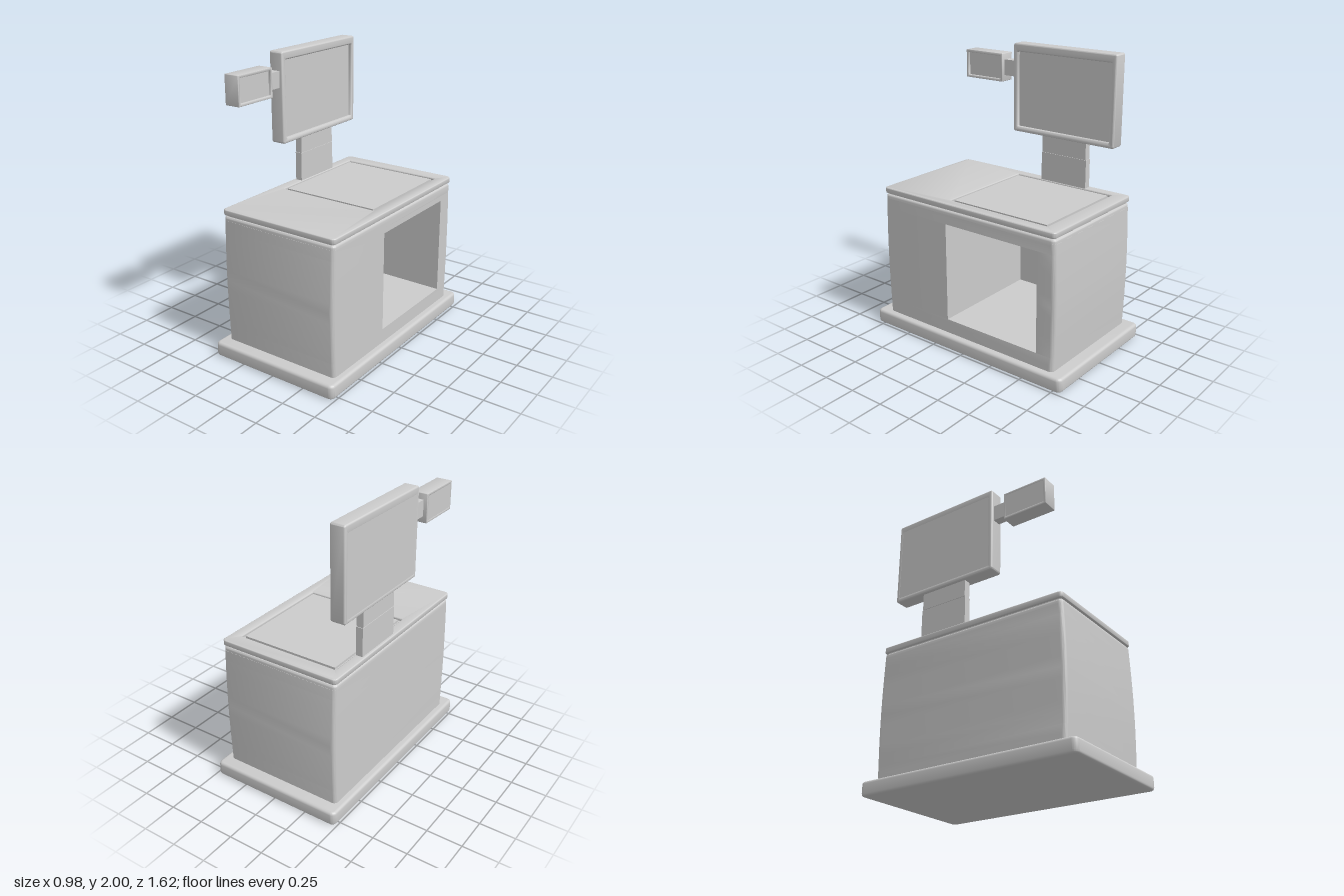
import * as THREE from 'three';
import { toCreasedNormals } from 'three/addons/utils/BufferGeometryUtils.js';

const material = new THREE.MeshStandardMaterial({ color: 0xcccccc });

// Traces a rectangle with rounded corners onto a Shape or Path.
function roundedRect(path, x0, y0, x1, y1, r) {
  path.moveTo(x0 + r, y0);
  path.lineTo(x1 - r, y0);
  path.absarc(x1 - r, y0 + r, r, -Math.PI / 2, 0);
  path.lineTo(x1, y1 - r);
  path.absarc(x1 - r, y1 - r, r, 0, Math.PI / 2);
  path.lineTo(x0 + r, y1);
  path.absarc(x0 + r, y1 - r, r, Math.PI / 2, Math.PI);
  path.lineTo(x0, y0 + r);
  path.absarc(x0 + r, y0 + r, r, Math.PI, Math.PI * 1.5);
  return path;
}

// Extrudes a shape between two levels, keeping its outline as the outer limit of the bevel.
function extrude(shape, from, to, bevel = 0, steps = 1) {
  const geometry = new THREE.ExtrudeGeometry(shape, {
    depth: to - from - 2 * bevel, steps, curveSegments: 6,
    bevelEnabled: bevel > 0, bevelSize: bevel, bevelThickness: bevel,
    bevelOffset: -bevel, bevelSegments: 4,
  });
  return geometry.translate(0, 0, from + bevel);
}

export function createModel() {
  const model = new THREE.Group();

  function add(name, geometry, parent = model) {
    const mesh = new THREE.Mesh(toCreasedNormals(geometry, 0.6), material);
    mesh.name = name;
    parent.add(mesh);
    return mesh;
  }
  function box(name, x0, x1, y0, y1, z0, z1, parent) {
    const g = new THREE.BoxGeometry(x1 - x0, y1 - y0, z1 - z0);
    return add(name, g.translate((x0 + x1) / 2, (y0 + y1) / 2, (z0 + z1) / 2), parent);
  }
  // Stands a floor-plan shape (drawn with y = -z) upright.
  const upright = (...args) => extrude(...args).rotateX(-Math.PI / 2);
  const plan = (hx, hz, r) => roundedRect(new THREE.Shape(), -hx, -hz, hx, hz, r);

  // Cabinet ends swell slightly at mid height.
  function swell(geometry) {
    const p = geometry.attributes.position;
    for (let i = 0; i < p.count; i++) {
      const z = p.getZ(i);
      if (Math.abs(z) < 0.66) continue;
      const t = THREE.MathUtils.clamp((p.getY(i) - 0.1) / 0.9, 0, 1);
      p.setZ(i, z + Math.sign(z) * 0.012 * Math.sin(Math.PI * t));
    }
    return geometry;
  }

  // Plinth
  add('plinth', upright(plan(0.49, 0.81, 0.035), 0, 0.1, 0.02));

  // Cabinet: solid below and above, open to +x in the middle band
  const hx = 0.442, hz = 0.718, r = 0.03;
  const cabinet = new THREE.Group();
  cabinet.name = 'cabinet';
  model.add(cabinet);
  add('cabinetFloor', swell(upright(plan(hx, hz, r), 0.09, 0.2, 0, 2)), cabinet);
  const band = new THREE.Shape();
  band.moveTo(hx, 0.59);
  band.lineTo(hx, hz - r);
  band.absarc(hx - r, hz - r, r, 0, Math.PI / 2);
  band.lineTo(-hx + r, hz);
  band.absarc(-hx + r, hz - r, r, Math.PI / 2, Math.PI);
  band.lineTo(-hx, -hz + r);
  band.absarc(-hx + r, -hz + r, r, Math.PI, Math.PI * 1.5);
  band.lineTo(hx - r, -hz);
  band.absarc(hx - r, -hz + r, r, -Math.PI / 2, 0);
  band.lineTo(hx, -0.16);
  band.lineTo(-0.39, -0.16);
  band.lineTo(-0.39, 0.59);
  band.closePath();
  add('cabinetWalls', swell(upright(band, 0.2, 0.9, 0, 10)), cabinet);
  add('cabinetHead', swell(upright(plan(hx, hz, r), 0.9, 0.97)), cabinet);
  add('cabinetRim', upright(plan(hx, hz, r), 0.92, 1.0, 0.016), cabinet);
  add('cabinetNeck', upright(plan(hx - 0.014, hz - 0.014, 0.02), 0.96, 1.03), cabinet);

  // Countertop with an inset scanner plate
  const top = plan(0.447, 0.722, 0.03);
  top.holes.push(roundedRect(new THREE.Path(), -0.375, -0.175, 0.37, 0.615, 0.006));
  add('countertop', upright(top, 1.008, 1.048, 0.008));
  box('scannerPlate', -0.356, 0.351, 1.02, 1.045, -0.596, 0.156);

  // Screen post, its upper section stepped slightly
  box('post', -0.43, -0.38, 1.03, 1.25, -0.4, -0.03);
  box('postJoint', -0.426, -0.384, 1.245, 1.26, -0.395, -0.035);
  box('postHead', -0.43, -0.38, 1.255, 1.39, -0.395, -0.035);

  // A display facing +x: a frame around a recessed panel
  function display(name, x0, x1, y0, y1, z0, z1, edge, recess, bevel, corner) {
    const group = new THREE.Group();
    group.name = name;
    model.add(group);
    const frame = roundedRect(new THREE.Shape(), -z1, y0, -z0, y1, corner);
    frame.holes.push(roundedRect(new THREE.Path(),
      -z1 + edge, y0 + edge, -z0 - edge, y1 - edge - (edge > 0.03 ? 0.02 : 0), 0.004));
    add(name + 'Frame', extrude(frame, x0, x1, bevel).rotateY(Math.PI / 2), group);
    box(name + 'Panel', x0 + 0.0005, x1 - recess, y0 + edge / 2, y1 - edge / 2,
      z0 + edge / 2, z1 - edge / 2, group);
  }
  display('mainScreen', -0.452, -0.345, 1.375, 2.0, -0.63, 0.2, 0.038, 0.022, 0.012, 0.015);
  display('cardReader', -0.457, -0.345, 1.715, 1.915, 0.3, 0.63, 0.018, 0.018, 0.003, 0.004);
  box('readerArm', -0.43, -0.37, 1.76, 1.872, 0.18, 0.32);

  return model;
}
